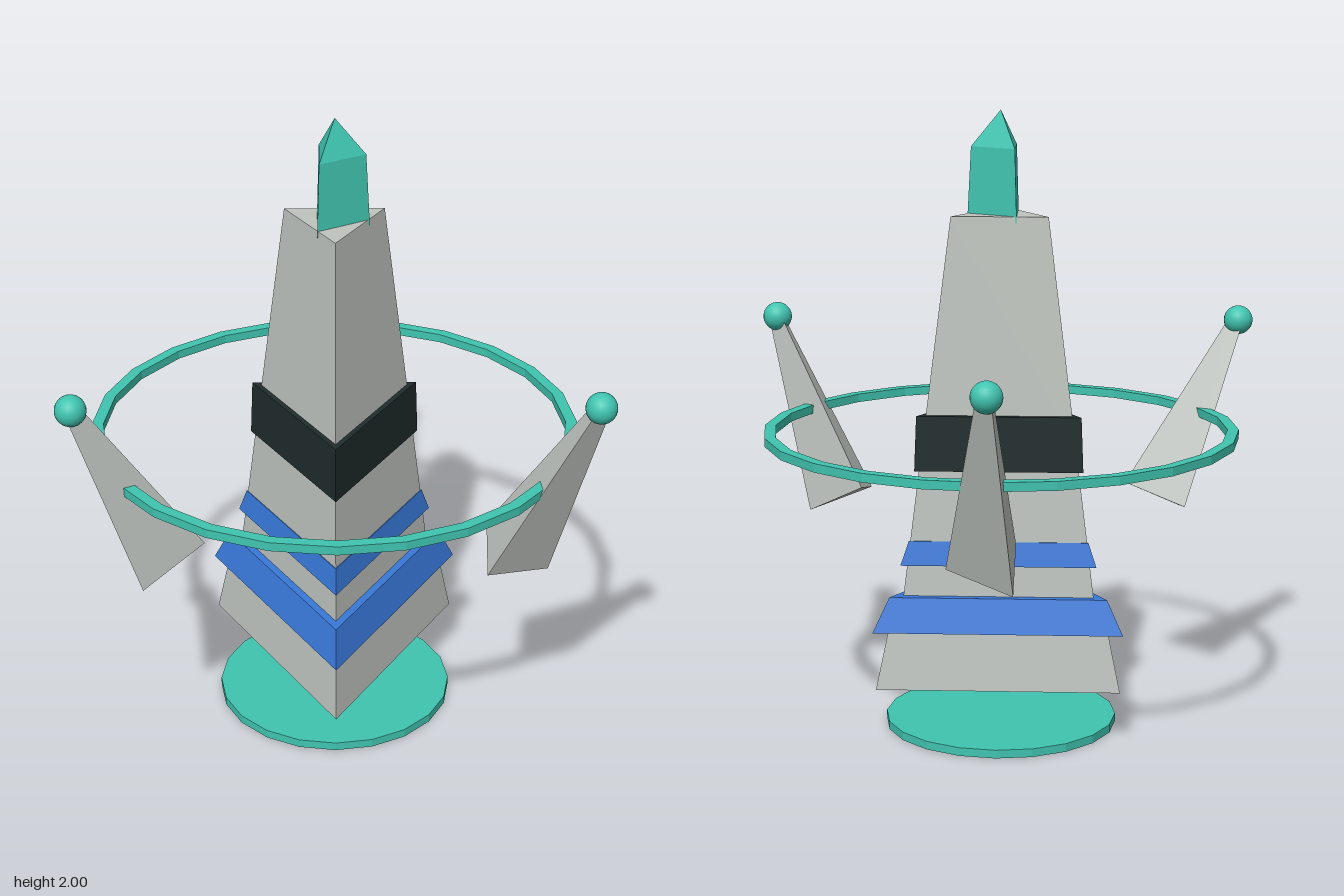
import * as THREE from 'three';

const mat = (name, color) => {
  const m = new THREE.MeshStandardMaterial({ color });
  m.name = name;
  return m;
};

// Faceted solid of revolution from [radius, height] pairs, listed bottom to top
function faceted(profile, sides) {
  const points = profile.map(([r, y]) => new THREE.Vector2(r, y));
  const g = new THREE.LatheGeometry(points, sides).toNonIndexed();
  g.computeVertexNormals();
  return g;
}

// Closed tapered solid
const frustum = (r0, y0, r1, y1, sides = 3) =>
  faceted([[0, y0], [r0, y0], [r1, y1], [0, y1]], sides);

export function createModel() {
  const stone = mat('pale stone', 0xbfc4bf);
  const teal = mat('teal', 0x40c4b0);
  const blue = mat('blue', 0x3878d8);
  const dark = mat('dark metal', 0x202c2c);

  const model = new THREE.Group();
  model.name = 'crystalTower';
  const tower = new THREE.Group();
  tower.name = 'tower';
  tower.position.z = 0.09;
  model.add(tower);

  const add = (parent, name, geometry, material) => {
    const mesh = new THREE.Mesh(geometry, material);
    mesh.name = name;
    parent.add(mesh);
    return mesh;
  };

  // Floating base disc
  add(tower, 'baseDisc', frustum(0.376, 0, 0.376, 0.027, 20), teal);

  // Three-sided obelisk, tapering in tiers
  add(tower, 'obelisk', faceted([
    [0, 0.17], [0.45, 0.17], [0.39, 0.42], [0.357, 0.42],
    [0.33, 0.61], [0.28, 0.96], [0.177, 1.675], [0, 1.675],
  ], 3), stone);

  // Collars around the obelisk
  add(tower, 'lowerBand', frustum(0.46, 0.36, 0.4, 0.47), blue);
  add(tower, 'middleBand', frustum(0.36, 0.57, 0.33, 0.647), blue);
  add(tower, 'upperBand', frustum(0.309, 0.873, 0.301, 1.05), dark);

  // Crystal tip
  const crystal = add(tower, 'crystal', faceted([
    [0, 1.655], [0.106, 1.655], [0.094, 1.885], [0, 2],
  ], 3), teal);
  crystal.rotation.y = Math.PI / 2;

  // Flat hovering ring
  add(tower, 'ring', faceted([
    [0.762, 0.957], [0.762, 0.985], [0.726, 0.985], [0.726, 0.957], [0.762, 0.957],
  ], 24), teal);

  // Three leaning shards, each tipped with an orb
  const shardGeometry = frustum(0.138, -0.65, 0.03, 0);
  shardGeometry.rotateY(Math.PI / 2);
  shardGeometry.rotateX(-0.453);
  const orbGeometry = new THREE.SphereGeometry(0.048, 20, 14);
  for (let i = 0; i < 3; i++) {
    const arm = new THREE.Group();
    arm.name = 'shardArm' + (i + 1);
    arm.rotation.y = (i * Math.PI * 2) / 3;
    tower.add(arm);
    add(arm, 'shard', shardGeometry, stone).position.set(0, 1.265, -0.897);
    add(arm, 'orb', orbGeometry, teal).position.set(0, 1.265, -0.897);
  }
  return model;
}
